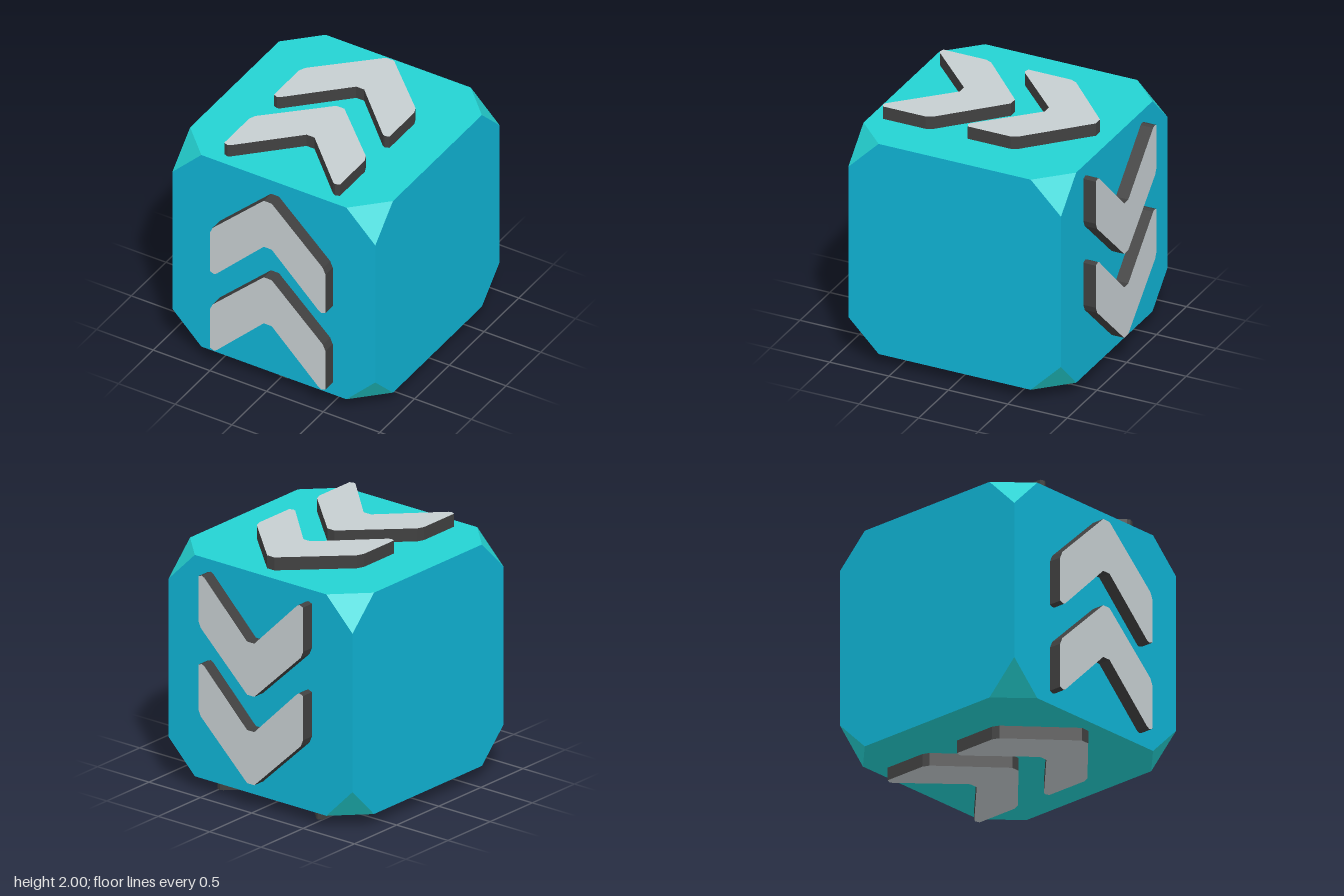
import * as THREE from 'three';

const HALF = 0.895; // half width of the cube
const CUT = 0.255;  // length cut off each edge at a corner

const mat = (name, color) => {
  const m = new THREE.MeshStandardMaterial({ color });
  m.name = name;
  return m;
};

const shapeOf = (points) => new THREE.Shape(points.map(([x, y]) => new THREE.Vector2(x, y)));

// Eight-sided face of the cube, lying in front of the centre
function faceGeometry() {
  const a = HALF, b = HALF - CUT;
  const geo = new THREE.ShapeGeometry(shapeOf([
    [a, -b], [a, b], [b, a], [-b, a], [-a, b], [-a, -b], [-b, -a], [b, -a],
  ]));
  return geo.translate(0, 0, HALF);
}

// Triangle closing one cut corner
function cornerGeometry(sx, sy, sz) {
  const a = HALF, b = HALF - CUT;
  let tri = [[b, a, a], [a, b, a], [a, a, b]];
  tri = tri.map(([x, y, z]) => [x * sx, y * sy, z * sz]);
  if (sx * sy * sz > 0) tri.reverse(); // keep the outside in front
  const geo = new THREE.BufferGeometry();
  geo.setAttribute('position', new THREE.Float32BufferAttribute(tri.flat(), 3));
  // Point the normal away from the centre
  const p = tri.map((v) => new THREE.Vector3(...v));
  const n = p[1].clone().sub(p[0]).cross(p[2].clone().sub(p[0]));
  geo.setIndex(n.dot(p[0]) > 0 ? [0, 1, 2] : [0, 2, 1]);
  geo.computeVertexNormals();
  return geo;
}

// Raised arrow with slightly clipped tips
function chevronGeometry() {
  const half = [
    [0.035, 0.77], [0.487, 0.342], [0.51, 0.288],
    [0.51, -0.07], [0.475, -0.083], [0.452, -0.072], [0.035, 0.34],
  ];
  const mirrored = half.map(([x, y]) => [-x, y]).reverse();
  const geo = new THREE.ExtrudeGeometry(shapeOf([...half, ...mirrored]), {
    depth: 0.115, bevelEnabled: false,
  });
  return geo.translate(0.01, 0, HALF - 0.01);
}

export function createModel() {
  const blue = mat('blue', 0x0fb3d4);
  const teal = mat('teal', 0x24d3d3);
  const grey = mat('light grey', 0xc6ced1);
  const dark = mat('dark grey', 0x404040);

  const model = new THREE.Group();
  model.name = 'arrowCube';
  const add = (parent, name, geo, material) => {
    const mesh = new THREE.Mesh(geo, material);
    mesh.name = name;
    parent.add(mesh);
    return mesh;
  };

  // Front, top, back and bottom, turning about the x axis
  const face = faceGeometry();
  const chevron = chevronGeometry();
  const sides = [['front', blue, 0], ['top', teal, -0.008], ['back', blue, 0], ['bottom', teal, 0.012]];
  sides.forEach(([name, material, shift], i) => {
    const side = new THREE.Group();
    side.name = name + 'Side';
    side.rotation.x = -i * Math.PI / 2;
    add(side, name + 'Face', face, material);
    [0, -0.715].forEach((y, k) => {
      const arrow = add(side, name + (k ? 'LowerArrow' : 'UpperArrow'), chevron, [grey, dark]);
      arrow.position.y = y + shift;
    });
    model.add(side);
  });

  // Plain left and right faces
  for (const s of [1, -1]) {
    add(model, s > 0 ? 'leftFace' : 'rightFace', face, blue).rotation.y = s * Math.PI / 2;
  }

  // Cut corners
  for (const sx of [1, -1]) for (const sy of [1, -1]) for (const sz of [1, -1]) {
    add(model, 'cutCorner', cornerGeometry(sx, sy, sz), teal);
  }

  model.children.forEach((part) => { part.position.y = 1; });
  return model;
}
